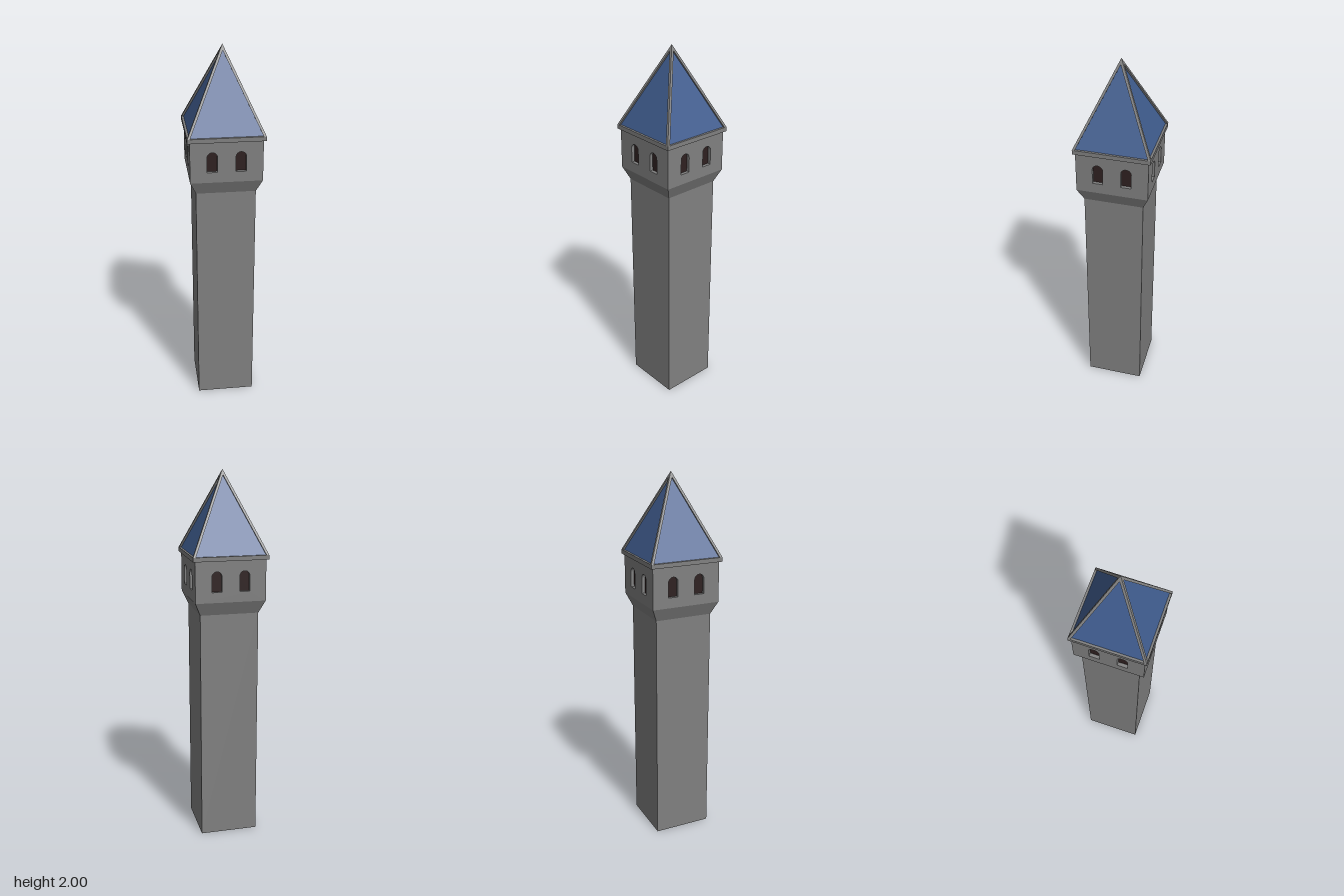
import * as THREE from 'three';

const SHAFT = 0.157, HEAD = 0.188, EAVE = 0.2; // half widths
const HEAD_BASE = 1.335, EAVE_BASE = 1.552, EAVE_TOP = 1.575, APEX = 2;

const stone = new THREE.MeshStandardMaterial({ color: 0x808080, side: THREE.DoubleSide });
stone.name = 'grey stone';
const slate = new THREE.MeshStandardMaterial({ color: 0x3f5c8e });
slate.name = 'blue roof';
const dark = new THREE.MeshStandardMaterial({ color: 0x2e2020, side: THREE.DoubleSide });
dark.name = 'dark window';

function addMesh(parent, name, geometry, material) {
  const mesh = new THREE.Mesh(geometry, material);
  mesh.name = name;
  parent.add(mesh);
  return mesh;
}

// Open square frustum with flat faces
function frustum(topHalf, bottomHalf, y0, y1) {
  const g = new THREE.CylinderGeometry(topHalf * Math.SQRT2, bottomHalf * Math.SQRT2, y1 - y0, 4, 1, true)
    .rotateY(Math.PI / 4)
    .translate(0, (y0 + y1) / 2, 0)
    .toNonIndexed();
  g.computeVertexNormals();
  return g;
}

// Round-topped window outline
function arch(path, cx) {
  const r = 0.027, y0 = 1.39, spring = 1.47;
  path.moveTo(cx - r, y0);
  path.lineTo(cx + r, y0);
  path.lineTo(cx + r, spring);
  path.absarc(cx, spring, r, 0, Math.PI, false);
  path.closePath();
  return path;
}

// Flat-shaded geometry from four-cornered faces
function quads(list) {
  const pos = [];
  for (const [a, b, c, d] of list) pos.push(...a, ...b, ...c, ...a, ...c, ...d);
  const g = new THREE.BufferGeometry();
  g.setAttribute('position', new THREE.Float32BufferAttribute(pos, 3));
  g.computeVertexNormals();
  return g;
}

// Half of a hip rib, lying on the front roof slope; s is the side (+1 or -1)
function halfRib(s) {
  const w = 0.014, inset = EAVE - HEAD;
  const rise = (EAVE - w) / EAVE;
  const peakY = EAVE_TOP + (APEX - EAVE_TOP) * rise;
  const corner = [s * EAVE, EAVE_TOP, EAVE];
  const foot = [s * (EAVE - w), EAVE_TOP, EAVE];
  const peak = [0, peakY, w];
  const innerFoot = [s * (EAVE - w), EAVE_TOP, EAVE - inset];
  const innerPeak = [0, peakY, w - inset];
  return quads([
    [corner, [0, APEX, 0], peak, foot],
    [foot, peak, innerPeak, innerFoot],
  ]);
}

export function createModel() {
  const tower = new THREE.Group();
  tower.name = 'tower';

  // Hollow shaft and flared corbel
  addMesh(tower, 'shaft', frustum(SHAFT, SHAFT, 0, 1.265), stone);
  addMesh(tower, 'corbel', frustum(HEAD, SHAFT, 1.265, HEAD_BASE), stone);

  // Head wall with two window openings
  const wall = new THREE.Shape();
  wall.moveTo(-HEAD, HEAD_BASE);
  wall.lineTo(HEAD, HEAD_BASE);
  wall.lineTo(HEAD, EAVE_BASE);
  wall.lineTo(-HEAD, EAVE_BASE);
  wall.closePath();
  const windowX = [-0.074, 0.074];
  for (const x of windowX) wall.holes.push(arch(new THREE.Path(), x));
  const wallGeo = new THREE.ExtrudeGeometry(wall, { depth: 0.02, bevelEnabled: false, curveSegments: 8 })
    .translate(0, 0, HEAD - 0.02);

  // The four sides repeat around the tower
  for (let i = 0; i < 4; i++) {
    const side = new THREE.Group();
    side.name = 'side' + (i + 1);
    side.rotation.y = i * Math.PI / 2;
    addMesh(side, 'headWall', wallGeo, stone);
    for (const x of windowX) {
      const pane = new THREE.ShapeGeometry(arch(new THREE.Shape(), x), 8).translate(0, 0, HEAD - 0.018);
      addMesh(side, 'window', pane, dark);
    }
    for (const s of [-1, 1]) addMesh(side, 'hipRib', halfRib(s), stone);
    tower.add(side);
  }

  // Eave slab and the roof set inside the ribs
  const eave = new THREE.BoxGeometry(EAVE * 2, EAVE_TOP - EAVE_BASE, EAVE * 2)
    .translate(0, (EAVE_TOP + EAVE_BASE) / 2, 0);
  addMesh(tower, 'eave', eave, stone);
  const roofTop = EAVE_TOP + (APEX - EAVE_TOP) * HEAD / EAVE;
  addMesh(tower, 'roof', frustum(0, HEAD, EAVE_TOP, roofTop), slate);

  return tower;
}
